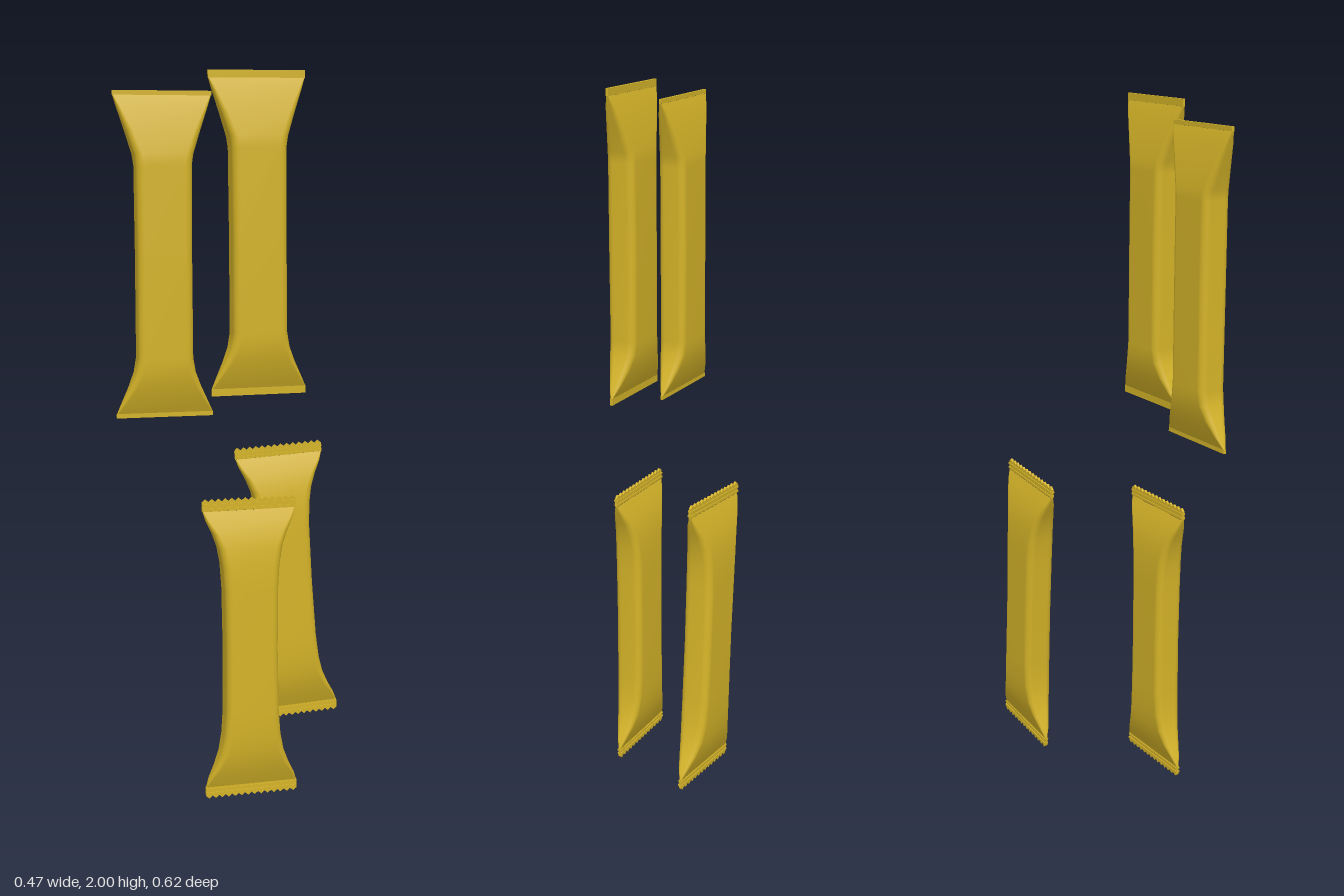
import * as THREE from 'three';

const material = new THREE.MeshStandardMaterial({ color: 0xd4b328 });
const SEAL_HALF = 0.131; // half width of the flat end seals
const SEAL_THICK = 0.007;

// Rounded rectangle cross-section with always the same number of points
function section(hw, hd, r, steps = 5) {
  const pts = [];
  const corners = [[1, 1], [-1, 1], [-1, -1], [1, -1]];
  corners.forEach(([sx, sz], c) => {
    for (let i = 0; i <= steps; i++) {
      const a = (c + i / steps) * Math.PI / 2;
      pts.push([sx * (hw - r) + r * Math.cos(a), sz * (hd - r) + r * Math.sin(a)]);
    }
  });
  return pts;
}

// Pillow body lofted through stations of [y, half width, half depth]
function loft(stations) {
  const pos = [], index = [];
  const rings = stations.map(([y, hw, hd]) =>
    section(hw, hd, Math.min(0.02, hd * 0.6)).map(([x, z]) => [x, y, z]));
  const n = rings[0].length;
  rings.forEach(ring => ring.forEach(p => pos.push(...p)));
  for (let j = 0; j < rings.length - 1; j++) {
    for (let i = 0; i < n; i++) {
      const a = j * n + i, b = j * n + (i + 1) % n;
      index.push(a, a + n, b, b, a + n, b + n);
    }
  }
  const geo = new THREE.BufferGeometry();
  geo.setAttribute('position', new THREE.Float32BufferAttribute(pos, 3));
  geo.setIndex(index);
  geo.computeVertexNormals();
  return geo;
}

// Flat end seal reaching up from y = 0, with an optional zigzag cut edge
function sealGeometry(height, crimped) {
  const shape = new THREE.Shape();
  shape.moveTo(-SEAL_HALF, 0);
  shape.lineTo(SEAL_HALF, 0);
  const teeth = crimped ? 14 : 1;
  for (let i = 0; i < teeth; i++) {
    const x = SEAL_HALF * (1 - 2 * i / teeth);
    if (crimped) {
      shape.lineTo(x, height - 0.008);
      shape.lineTo(x - SEAL_HALF / teeth, height);
    } else shape.lineTo(x, height);
  }
  shape.lineTo(-SEAL_HALF, height - (crimped ? 0.008 : 0));
  const geo = new THREE.ExtrudeGeometry(shape, { depth: SEAL_THICK, bevelEnabled: false });
  return geo.translate(0, 0, -SEAL_THICK / 2);
}

// Flare profiles: [distance from the seal, half width, half depth]
const longFlare = [[0, 0.13, 0.004], [0.03, 0.12, 0.014], [0.09, 0.099, 0.028],
  [0.15, 0.079, 0.039], [0.18, 0.074, 0.041]];
const shortFlare = [[0, 0.13, 0.004], [0.03, 0.116, 0.017], [0.07, 0.097, 0.03],
  [0.11, 0.081, 0.039], [0.15, 0.074, 0.041]];
const softFlare = [[0, 0.13, 0.004], [0.025, 0.122, 0.014], [0.06, 0.105, 0.026],
  [0.1, 0.09, 0.035], [0.15, 0.08, 0.04], [0.22, 0.075, 0.042]];

function wrapper({ name, at, turn, tilt, length, band, crimped, top, bottom }) {
  const group = new THREE.Group();
  group.name = name;
  const end = length / 2 - band;
  const add = (geo, part, parent = group) => {
    const mesh = new THREE.Mesh(geo, material);
    mesh.name = part;
    parent.add(mesh);
    return mesh;
  };

  // Filled pouch
  add(loft([
    ...bottom.map(([d, w, t]) => [-end + d, w, t]),
    [0, 0.073, 0.042],
    ...top.map(([d, w, t]) => [end - d, w, t]).reverse(),
  ]), 'pouch');

  // End seals with pressed ridges on the crimped ones
  for (const side of [1, -1]) {
    const seal = new THREE.Group();
    seal.name = side > 0 ? 'topSeal' : 'bottomSeal';
    add(sealGeometry(band, crimped), 'sealBand', seal);
    if (crimped) {
      for (const y of [0.006, 0.018]) {
        add(new THREE.BoxGeometry(SEAL_HALF * 2, 0.005, SEAL_THICK + 0.005), 'sealRidge', seal)
          .position.y = y;
      }
    }
    seal.position.y = side * end;
    if (side < 0) seal.rotation.z = Math.PI;
    group.add(seal);
  }

  group.position.set(...at);
  group.rotation.order = 'YXZ';
  group.rotation.y = THREE.MathUtils.degToRad(turn);
  group.rotation.z = THREE.MathUtils.degToRad(tilt);
  return group;
}

export function createModel() {
  const model = new THREE.Group();
  model.name = 'wrappedBars';
  const bars = [
    { name: 'upperRightBar', at: [-0.119, 1.515, 0.237], turn: 30, tilt: 0.2, length: 0.858,
      band: 0.012, crimped: false, top: longFlare, bottom: shortFlare },
    { name: 'upperLeftBar', at: [0.108, 1.57, 0.127], turn: 31, tilt: 0.6, length: 0.857,
      band: 0.02, crimped: false, top: longFlare, bottom: shortFlare },
    { name: 'lowerFrontBar', at: [0.094, 0.431, 0.143], turn: 30.5, tilt: 0.6, length: 0.858,
      band: 0.034, crimped: true, top: softFlare, bottom: softFlare },
    { name: 'lowerBackBar', at: [0.091, 0.525, -0.237], turn: 28.5, tilt: 4, length: 0.843,
      band: 0.034, crimped: true, top: softFlare, bottom: softFlare },
  ];
  bars.forEach(bar => model.add(wrapper(bar)));
  return model;
}
